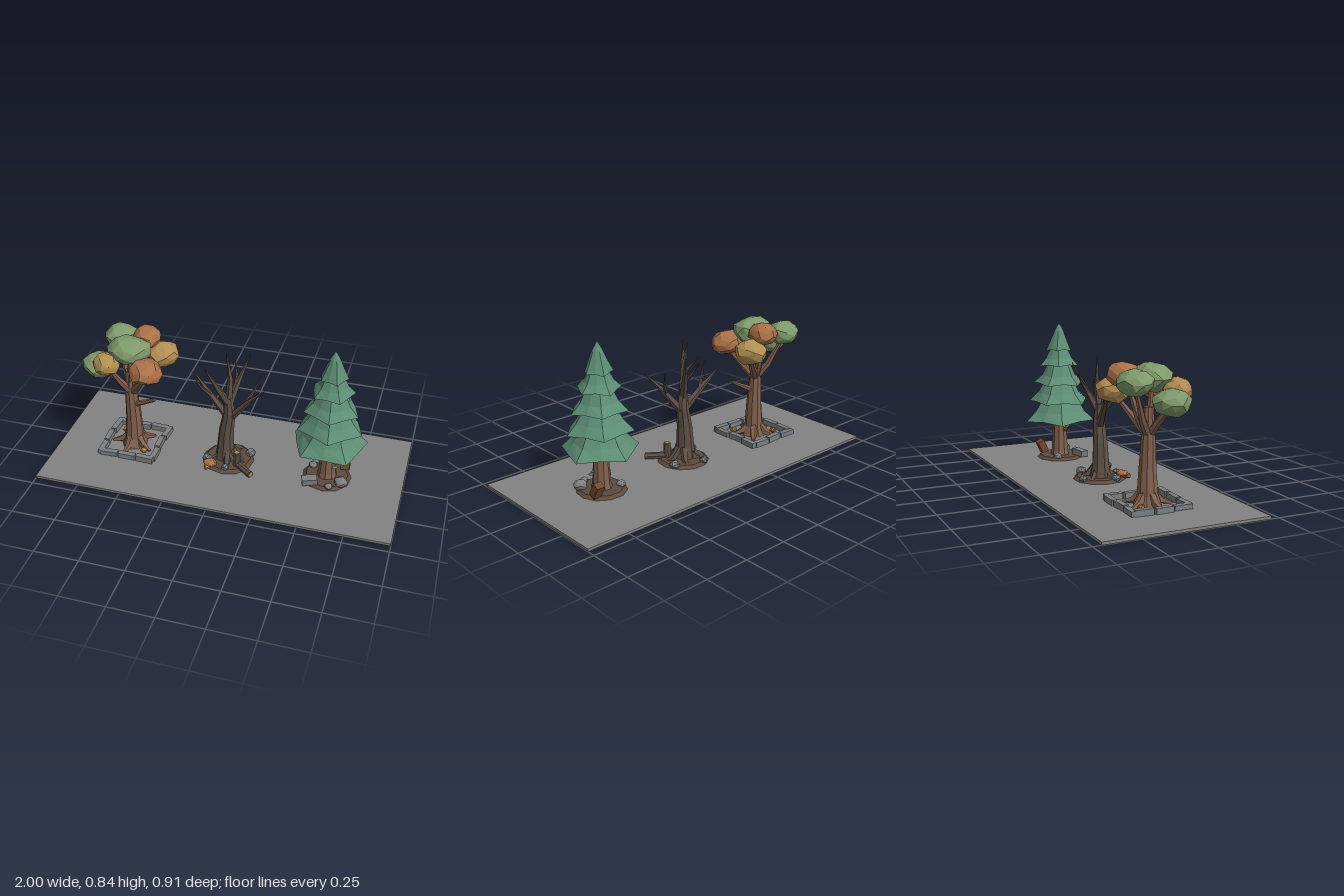
import * as THREE from 'three';

const mat = (name, color) => {
  const m = new THREE.MeshStandardMaterial({ color });
  m.name = name;
  return m;
};

export function createModel() {
  const paving = mat('paving grey', 0x828282);
  const stone = mat('stone grey', 0x7c8082);
  const bark = mat('warm bark', 0x82614e);
  const deadBark = mat('dead bark', 0x5d5047);
  const soil = mat('soil brown', 0x5c4a3e);
  const leafGreen = mat('leaf green', 0x7f996b);
  const ochre = mat('ochre leaf', 0xb18f52);
  const rust = mat('rust leaf', 0xaa7049);
  const pineGreen = mat('pine green', 0x5d8d75);
  const plankBrown = mat('plank brown', 0x75492c);

  // Faceted mesh with one normal per face
  function add(parent, name, geometry, material) {
    const g = geometry.index ? geometry.toNonIndexed() : geometry;
    g.computeVertexNormals();
    const mesh = new THREE.Mesh(g, material);
    mesh.name = name;
    parent.add(mesh);
    return mesh;
  }

  function tree(name, x) {
    const g = new THREE.Group();
    g.name = name;
    g.position.x = x;
    root.add(g);
    return g;
  }

  // Tapered limb: rings of a cylinder moved onto a path
  function limb(parent, name, path, radii, material, sides = 6) {
    const pts = path.map(p => new THREE.Vector3(...p));
    const n = pts.length - 1;
    const geo = new THREE.CylinderGeometry(1, 1, 1, sides, n);
    const pos = geo.attributes.position;
    const up = new THREE.Vector3(0, 1, 0);
    const turns = pts.map((p, i) => {
      const d = pts[Math.min(i + 1, n)].clone().sub(pts[Math.max(i - 1, 0)]).normalize();
      return new THREE.Quaternion().setFromUnitVectors(up, d);
    });
    const v = new THREE.Vector3();
    for (let i = 0; i < pos.count; i++) {
      const t = Math.round((pos.getY(i) + 0.5) * n);
      v.set(pos.getX(i), 0, pos.getZ(i)).multiplyScalar(radii[t]).applyQuaternion(turns[t]).add(pts[t]);
      pos.setXYZ(i, v.x, v.y, v.z);
    }
    return add(parent, name, geo, material);
  }

  // Irregular lump: ball with corners pushed in or out by a wave
  function lump(parent, name, [x, y, z], [rx, ry, rz], material, detail = 1) {
    const geo = new THREE.IcosahedronGeometry(1, detail);
    const pos = geo.attributes.position;
    for (let i = 0; i < pos.count; i++) {
      const a = pos.getX(i), b = pos.getY(i), c = pos.getZ(i);
      const k = 1 + 0.07 * Math.sin(5 * a + 31 * x) * Math.cos(4 * b + 17 * z) + 0.05 * Math.sin(6 * c + 23 * y);
      pos.setXYZ(i, x + a * k * rx, y + b * k * ry, z + c * k * rz);
    }
    return add(parent, name, geo, material);
  }

  function box(parent, name, size, position, material, rotation = [0, 0, 0]) {
    const m = add(parent, name, new THREE.BoxGeometry(...size), material);
    m.position.set(...position);
    m.rotation.set(...rotation);
    return m;
  }

  // Roots fanning out from a trunk
  function roots(parent, count, reach, radius, material, turn) {
    for (let i = 0; i < count; i++) {
      const a = turn + i * Math.PI * 2 / count, c = Math.cos(a), s = Math.sin(a);
      limb(parent, 'root', [[c * 0.02, 0.09, s * 0.02], [c * reach * 0.55, 0.035, s * reach * 0.55], [c * reach, 0.017, s * reach]],
        [radius, radius * 0.8, radius * 0.35], material, 5);
    }
  }

  // Low uneven mound of earth
  function mound(parent, radius) {
    const g = new THREE.CylinderGeometry(radius * 0.85, radius, 0.018, 11);
    add(parent, 'soilMound', g, soil).position.y = 0.022;
  }

  const root = new THREE.Group();
  root.name = 'threeTrees';
  box(root, 'groundSlab', [2, 0.015, 0.91], [0, 0.0075, 0], paving);

  // Leafy tree with a stone border
  const leafy = tree('leafyTree', -0.575);
  limb(leafy, 'trunk', [[0, 0.015, 0], [0, 0.07, 0], [0.003, 0.2, 0], [-0.002, 0.36, 0], [-0.002, 0.52, 0]],
    [0.075, 0.055, 0.046, 0.037, 0.026], bark, 9);
  roots(leafy, 5, 0.13, 0.026, bark, 0.5);
  const boughs = [[-0.14, 0.54, 0.05], [-0.09, 0.6, -0.11], [-0.08, 0.57, 0.1], [0.13, 0.55, 0.09], [0.15, 0.55, -0.1], [0.04, 0.62, -0.09], [0.01, 0.62, 0.02]];
  for (const [x, y, z] of boughs)
    limb(leafy, 'branch', [[0, 0.37, 0], [x * 0.5, 0.46, z * 0.5], [x, y, z]], [0.024, 0.02, 0.012], bark);
  limb(leafy, 'sideBranch', [[0, 0.29, 0], [0.07, 0.325, 0.02], [0.155, 0.37, 0.04]], [0.02, 0.015, 0.009], bark);
  const crowns = [
    [-0.155, 0.56, 0.05, 0.1, 0.07, 0.1, leafGreen],
    [-0.09, 0.66, -0.125, 0.095, 0.068, 0.095, leafGreen],
    [0.015, 0.665, 0.02, 0.125, 0.075, 0.105, leafGreen],
    [-0.09, 0.61, 0.112, 0.075, 0.065, 0.075, ochre],
    [0.16, 0.59, -0.11, 0.09, 0.072, 0.095, ochre],
    [0.065, 0.68, -0.115, 0.082, 0.065, 0.085, rust],
    [0.135, 0.595, 0.108, 0.095, 0.07, 0.095, rust],
  ];
  for (const [x, y, z, rx, ry, rz, m] of crowns) lump(leafy, 'foliage', [x, y, z], [rx, ry, rz], m);
  for (let side = 0; side < 4; side++) {
    const a = side * Math.PI / 2;
    for (let i = -1; i <= 1; i++) {
      const along = i * 0.108 + 0.008, out = 0.155 + 0.005 * Math.sin(side * 5 + i * 3);
      box(leafy, 'borderStone', [0.1, 0.03 + 0.004 * Math.sin(side + i * 2), 0.032],
        [Math.cos(a) * along + Math.sin(a) * out, 0.031, -Math.sin(a) * along + Math.cos(a) * out],
        stone, [0, a + 0.06 * Math.sin(side * 7 + i * 4), 0]);
    }
  }
  lump(leafy, 'fallenLeaf', [0.085, 0.035, 0.085], [0.024, 0.016, 0.022], ochre, 0);
  lump(leafy, 'fallenLeaf', [-0.085, 0.035, -0.08], [0.024, 0.016, 0.022], rust, 0);

  // Bare tree
  const bare = tree('bareTree', 0);
  mound(bare, 0.15);
  limb(bare, 'trunk', [[-0.015, 0.015, 0], [-0.018, 0.1, 0], [-0.012, 0.22, 0], [0.005, 0.34, 0], [-0.002, 0.44, 0]],
    [0.065, 0.05, 0.043, 0.035, 0.024], deadBark, 8);
  roots(bare, 5, 0.12, 0.024, deadBark, 0.2);
  const bareBranches = [
    [[-0.01, 0.32, 0], [-0.13, 0.445, -0.03], [-0.22, 0.535, -0.06]],
    [[0, 0.4, 0], [-0.05, 0.53, 0.055], [-0.1, 0.675, 0.11]],
    [[0, 0.41, 0], [0.008, 0.56, -0.01], [-0.018, 0.71, -0.02]],
    [[0, 0.39, 0], [0.04, 0.52, -0.06], [0.09, 0.665, -0.125]],
    [[0.01, 0.31, 0], [0.12, 0.455, 0.035], [0.22, 0.565, 0.07]],
    [[0.1, 0.43, 0.03], [0.14, 0.5, -0.01], [0.17, 0.59, -0.05]],
    [[-0.11, 0.425, -0.02], [-0.15, 0.48, 0.01], [-0.19, 0.56, 0.03]],
    [[-0.04, 0.5, 0.04], [-0.07, 0.54, 0.03], [-0.13, 0.6, 0.01]],
    [[0.03, 0.5, -0.05], [0.02, 0.55, -0.09], [0, 0.62, -0.13]],
  ];
  bareBranches.forEach((path, i) => {
    const r = i < 5 ? 0.024 : 0.012;
    limb(bare, 'branch', path, [r, r * 0.65, 0.002], deadBark, 5);
  });
  limb(bare, 'stump', [[0.065, 0.02, 0.06], [0.066, 0.115, 0.06]], [0.024, 0.02], deadBark, 7);
  limb(bare, 'stumpTop', [[0.066, 0.115, 0.06], [0.066, 0.118, 0.06]], [0.016, 0.016], ochre, 7);
  limb(bare, 'fallenLog', [[0.06, 0.04, 0.055], [0.165, 0.037, 0.135]], [0.02, 0.02], deadBark, 7);
  limb(bare, 'logEnd', [[0.165, 0.037, 0.135], [0.168, 0.037, 0.137]], [0.015, 0.015], ochre, 7);
  for (const [x, z, r] of [[-0.05, -0.12, 0.027], [0.115, -0.06, 0.033], [-0.115, 0.05, 0.03], [0.01, 0.11, 0.024]])
    lump(bare, 'rock', [x, 0.038, z], [r, r * 0.75, r], stone, 0);
  lump(bare, 'leafPile', [-0.08, 0.048, 0.105], [0.04, 0.02, 0.032], rust);
  limb(bare, 'cutBranch', [[-0.06, 0.035, 0.1], [-0.1, 0.035, 0.14]], [0.014, 0.014], ochre, 6);

  // Pine tree
  const pine = tree('pineTree', 0.575);
  mound(pine, 0.14);
  limb(pine, 'trunk', [[0, 0.015, 0], [0, 0.06, 0], [0, 0.26, 0], [0, 0.6, 0]], [0.06, 0.05, 0.038, 0.015], bark, 9);

  // Each tier is a ten-sided skirt with five points: [rim radius, rim y, mid radius, mid y, top radius, top y, turn]
  const tiers = [
    [0.215, 0.247, 0.155, 0.305, 0.07, 0.44, Math.PI],
    [0.185, 0.36, 0.13, 0.415, 0.06, 0.53, 0.1],
    [0.155, 0.47, 0.105, 0.52, 0.05, 0.63, 2.6],
    [0.122, 0.582, 0.082, 0.625, 0.03, 0.73, 0.5],
    [0.08, 0.672, 0.055, 0.725, 0.027, 0.79, 2.9],
  ];
  tiers.forEach(([r, y, rm, ym, rt, yt, turn], i) => {
    const tip = i === tiers.length - 1 ? [0, 0.837] : [0, yt + 0.02];
    const profile = [[0, y + 0.035], [r, y], [rm, ym], [rt, yt], tip].map(p => new THREE.Vector2(...p));
    const geo = new THREE.LatheGeometry(profile, 10);
    const pos = geo.attributes.position;
    for (let j = 0; j < pos.count; j++) {
      const ring = j % 5, step = Math.floor(j / 5) % 10;
      const inner = step % 2 === 1;
      const k = inner ? [1, 0.84, 0.93, 1, 1][ring] : 1;
      const lift = ring === 1 ? (inner ? 0.009 : 0.004 * Math.sin(step * 2 + i)) : 0;
      pos.setXYZ(j, pos.getX(j) * k, pos.getY(j) + lift, pos.getZ(j) * k);
    }
    geo.rotateY(turn);
    add(pine, 'needleTier', geo, pineGreen);
  });

  // Broken twigs, shelf moss and items at the foot of the pine
  limb(pine, 'twig', [[0.02, 0.235, -0.02], [0.06, 0.225, -0.035]], [0.012, 0.01], bark);
  limb(pine, 'twig', [[-0.03, 0.19, 0.01], [-0.08, 0.19, 0.03]], [0.012, 0.008], bark);
  limb(pine, 'twig', [[0.01, 0.18, 0.03], [0.035, 0.195, 0.075]], [0.012, 0.008], bark);
  lump(pine, 'shelfMoss', [0.045, 0.107, 0.028], [0.016, 0.006, 0.014], pineGreen);
  lump(pine, 'shelfMoss', [0.047, 0.126, 0.012], [0.013, 0.005, 0.01], pineGreen);
  box(pine, 'stoneBlock', [0.085, 0.036, 0.05], [-0.08, 0.045, 0.1], stone, [0.05, 0.3, 0.05]);
  box(pine, 'plank', [0.05, 0.075, 0.042], [0.09, 0.068, -0.082], plankBrown, [-0.45, 0, 0.05]);
  for (const [x, z, r] of [[0.09, 0.068, 0.037], [-0.09, -0.05, 0.025], [0.03, 0.115, 0.022]])
    lump(pine, 'rock', [x, 0.025 + r * 0.55, z], [r, r * 0.8, r], stone);
  return root;
}
